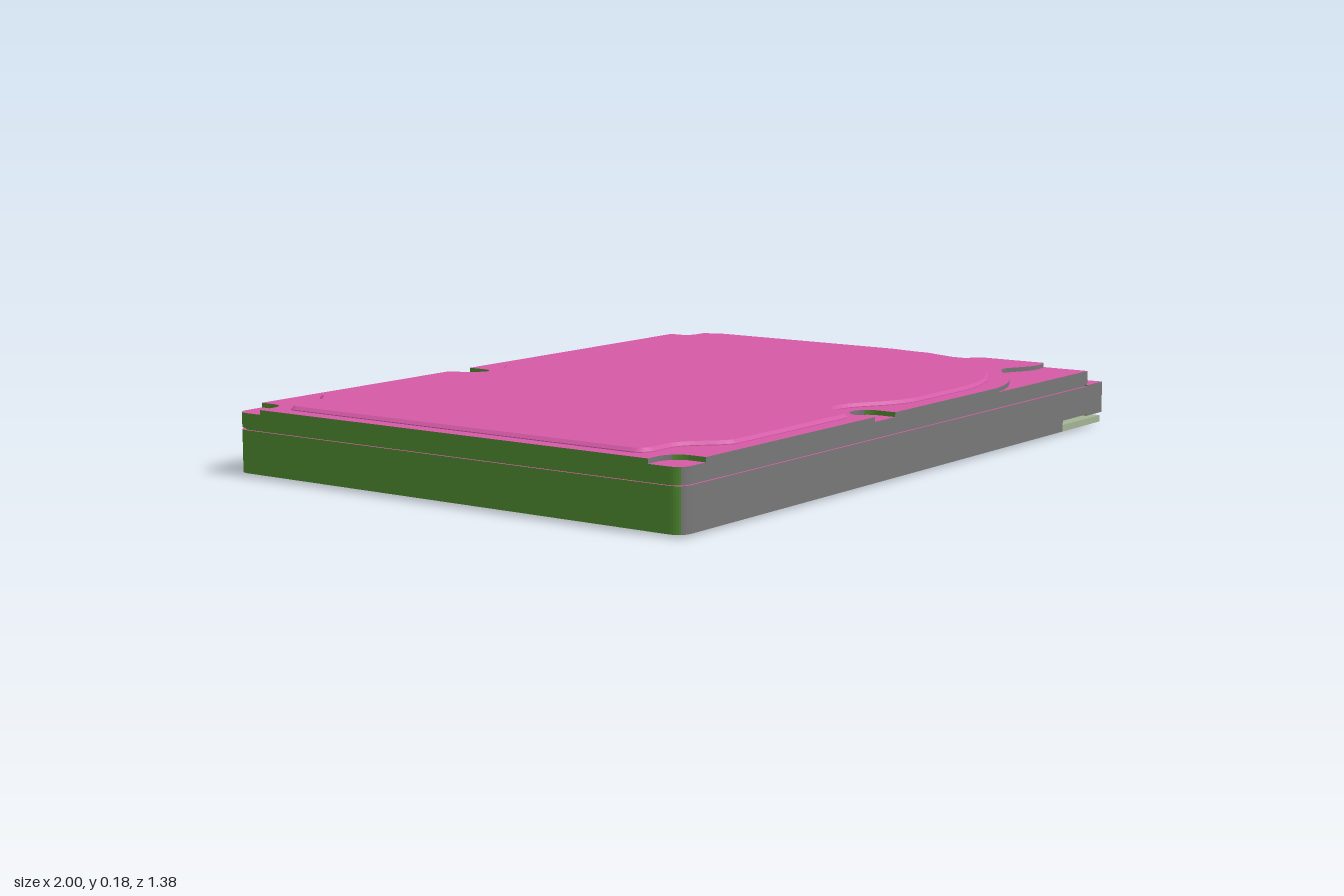
import * as THREE from 'three';

const mat = (color) => new THREE.MeshStandardMaterial({ color });
const pink = mat(0xd45aa6), under = mat(0xa3b394), green = mat(0x4f8a30);
const pale = mat(0xcccccc), grey = mat(0x777777), copper = mat(0x9c6258);
const faces = [pink, under, green, pale, grey];

// Colours every triangle by the way it faces: up, down, -x, +x, other sides
function paint(source) {
  const geo = source.index ? source.toNonIndexed() : source;
  geo.clearGroups();
  const p = geo.attributes.position;
  const tri = new THREE.Triangle(), n = new THREE.Vector3();
  for (let i = 0; i < p.count; i += 3) {
    tri.setFromAttributeAndIndices(p, i, i + 1, i + 2);
    tri.getNormal(n);
    const m = n.y > 0.4 ? 0 : n.y < -0.4 ? 1 : n.x < -0.7 ? 2 : n.x > 0.7 ? 3 : 4;
    geo.addGroup(i, 3, m);
  }
  return geo;
}

function add(group, name, geo, material) {
  const mesh = new THREE.Mesh(material ? geo : paint(geo), material || faces);
  mesh.name = name;
  group.add(mesh);
  return mesh;
}

// Box from its limits on each axis
function box(x0, x1, y0, y1, z0, z1) {
  return new THREE.BoxGeometry(x1 - x0, y1 - y0, z1 - z0)
    .translate((x0 + x1) / 2, (y0 + y1) / 2, (z0 + z1) / 2);
}

// Plan shape drawn as (x, -z), raised from y0 to y1
function slab(shape, y0, y1) {
  return new THREE.ExtrudeGeometry(shape, { depth: y1 - y0, bevelEnabled: false, curveSegments: 10 })
    .rotateX(-Math.PI / 2).translate(0, y0, 0);
}

// Profile drawn as (-z, y), swept from x0 to x1
function sweepX(shape, x0, x1) {
  return new THREE.ExtrudeGeometry(shape, { depth: x1 - x0, bevelEnabled: false })
    .rotateY(Math.PI / 2).translate(x0, 0, 0);
}

// Rectangle with rounded corners on the -x end
function outline(x0, x1, w, r) {
  const s = new THREE.Shape();
  s.moveTo(x1, -w);
  s.lineTo(x1, w);
  s.lineTo(x0 + r, w);
  s.quadraticCurveTo(x0, w, x0, w - r);
  s.lineTo(x0, r - w);
  s.quadraticCurveTo(x0, -w, x0 + r, -w);
  s.closePath();
  return s;
}

// Lid rim with low pockets at the screws and at the front corner
function rimShape() {
  const s = new THREE.Shape(), W = 0.688;
  s.moveTo(0.91, 0.62);
  s.lineTo(0.91, -0.17);
  s.lineTo(0.87, -0.28);
  s.lineTo(0.87, -0.32);
  s.lineTo(0.91, -0.35);
  s.lineTo(0.91, -0.55);
  s.bezierCurveTo(0.83, -0.58, 0.8, -0.54, 0.75, -0.52);
  s.bezierCurveTo(0.68, -0.5, 0.62, -0.66, 0.4, -W);
  s.lineTo(-0.11, -W);
  s.lineTo(-0.11, -0.64);
  s.absarc(-0.157, -0.64, 0.047, 0, Math.PI, false);
  s.lineTo(-0.204, -W);
  s.lineTo(-0.91, -W);
  s.lineTo(-0.91, -0.64);
  s.quadraticCurveTo(-0.92, -0.6, -0.96, -0.595);
  s.lineTo(-1, -0.595);
  s.lineTo(-1, 0.605);
  s.lineTo(-0.95, 0.605);
  s.quadraticCurveTo(-0.91, 0.61, -0.91, 0.65);
  s.lineTo(-0.91, W);
  s.lineTo(-0.204, W);
  s.lineTo(-0.204, 0.64);
  s.absarc(-0.157, 0.64, 0.047, Math.PI, 2 * Math.PI, false);
  s.lineTo(-0.11, W);
  s.lineTo(0.37, W);
  s.lineTo(0.83, W);
  s.lineTo(0.83, 0.65);
  s.quadraticCurveTo(0.84, 0.62, 0.87, 0.62);
  s.closePath();
  return s;
}

// Raised panel on the lid, scalloped round the screws
function panelShape() {
  const s = new THREE.Shape();
  s.moveTo(0.86, 0.52);
  s.lineTo(0.86, -0.08);
  s.bezierCurveTo(0.83, -0.38, 0.62, -0.61, 0.33, -0.635);
  s.lineTo(0.06, -0.635);
  s.bezierCurveTo(-0.06, -0.61, -0.08, -0.545, -0.16, -0.545);
  s.bezierCurveTo(-0.23, -0.545, -0.22, -0.62, -0.26, -0.635);
  s.lineTo(-0.73, -0.635);
  s.bezierCurveTo(-0.79, -0.6, -0.8, -0.545, -0.87, -0.545);
  s.lineTo(-0.92, -0.545);
  s.quadraticCurveTo(-0.95, -0.54, -0.95, -0.51);
  s.lineTo(-0.95, 0.52);
  s.quadraticCurveTo(-0.95, 0.55, -0.92, 0.55);
  s.lineTo(-0.87, 0.555);
  s.bezierCurveTo(-0.79, 0.56, -0.79, 0.61, -0.73, 0.64);
  s.lineTo(-0.27, 0.64);
  s.bezierCurveTo(-0.23, 0.62, -0.24, 0.55, -0.16, 0.55);
  s.bezierCurveTo(-0.08, 0.55, -0.06, 0.63, 0.05, 0.64);
  s.lineTo(0.65, 0.64);
  s.bezierCurveTo(0.72, 0.61, 0.71, 0.55, 0.78, 0.55);
  s.lineTo(0.83, 0.55);
  s.quadraticCurveTo(0.86, 0.55, 0.86, 0.52);
  return s;
}

// Connector housing: open-bottomed socket with a jumper window beside it
function housingShape() {
  const points = [
    [0.46, 0.008], [0.46, 0.035], [0.515, 0.035], [0.515, 0.09], [0.46, 0.09], [0.46, 0.105],
    [-0.26, 0.105], [-0.26, 0.09], [-0.315, 0.09], [-0.315, 0.035], [-0.26, 0.035], [-0.26, 0.008],
    [-0.53, 0.008], [-0.53, 0.06], [-0.58, 0.06], [-0.58, 0.105], [-0.34, 0.105], [-0.31, 0.118],
    [0.51, 0.118], [0.53, 0.105], [0.56, 0.105], [0.56, 0.03], [0.53, 0.03], [0.53, 0.008],
  ];
  const window = [
    [-0.325, 0.03], [-0.325, 0.078], [-0.39, 0.078], [-0.39, 0.09],
    [-0.44, 0.09], [-0.44, 0.078], [-0.505, 0.078], [-0.505, 0.03],
  ];
  const vec = (list) => list.map(([z, y]) => new THREE.Vector2(-z, y));
  const s = new THREE.Shape(vec(points));
  s.holes.push(new THREE.Path(vec(window)));
  return s;
}

export function createModel() {
  const model = new THREE.Group();
  model.name = 'hardDrive';

  // Base casting: full width up to the corner cut-outs, narrower beyond
  const base = new THREE.Group();
  base.name = 'base';
  model.add(base);
  add(base, 'baseBody', slab(outline(-1, 0.77, 0.688, 0.04), 0.006, 0.115));
  add(base, 'baseEnd', box(0.77, 0.91, 0.006, 0.115, -0.53, 0.53));
  add(base, 'seam', slab(outline(-0.994, 0.905, 0.682, 0.04), 0.114, 0.121));
  add(base, 'circuitBoard', slab(outline(-0.92, 0.9, 0.53, 0.02), 0, 0.01), under);
  for (const side of [-1, 1]) {
    const span = (a, b) => (side > 0 ? [a, b] : [-b, -a]);
    add(base, 'sideRail', box(0.77, 0.91, 0.036, 0.115, ...span(0.53, 0.688)));
    add(base, 'cornerEar', box(0.91, 1, 0.032, 0.118, ...span(0.635, 0.688)));
    add(base, 'cornerTab', box(0.77, 0.99, 0.006, 0.024, ...span(0.53, 0.688)), under);
    add(base, 'tabFoot', box(0.8, 0.985, 0, 0.01, ...span(0.53, 0.65)), under);
  }

  // Lid in three steps
  const lid = new THREE.Group();
  lid.name = 'lid';
  model.add(lid);
  add(lid, 'lidPlate', slab(outline(-1, 0.91, 0.688, 0.04), 0.12, 0.158));
  add(lid, 'lidRim', slab(rimShape(), 0.158, 0.17));
  const panel = new THREE.ExtrudeGeometry(panelShape(), {
    depth: 0.002, bevelThickness: 0.008, bevelSize: 0.008, bevelOffset: 0, bevelSegments: 1, curveSegments: 10,
  }).rotateX(-Math.PI / 2).translate(0, 0.17, 0);
  add(lid, 'lidPanel', panel, pink);

  // Connector with two L-shaped contact tongues
  const connector = new THREE.Group();
  connector.name = 'connector';
  model.add(connector);
  add(connector, 'connectorHousing', sweepX(housingShape(), 0.905, 0.985));
  for (const [tip, end] of [[0.028, 0.42], [-0.028, -0.22]]) {
    const d = Math.sign(end) * 0.02;
    const tongue = new THREE.Shape([
      [tip, 0.04], [tip + d, 0.04], [tip + d, 0.055], [end, 0.055], [end, 0.072], [tip, 0.072],
    ].map(([z, y]) => new THREE.Vector2(-z, y)));
    add(connector, 'contactTongue', sweepX(tongue, 0.905, 0.998), copper);
  }
  return model;
}
